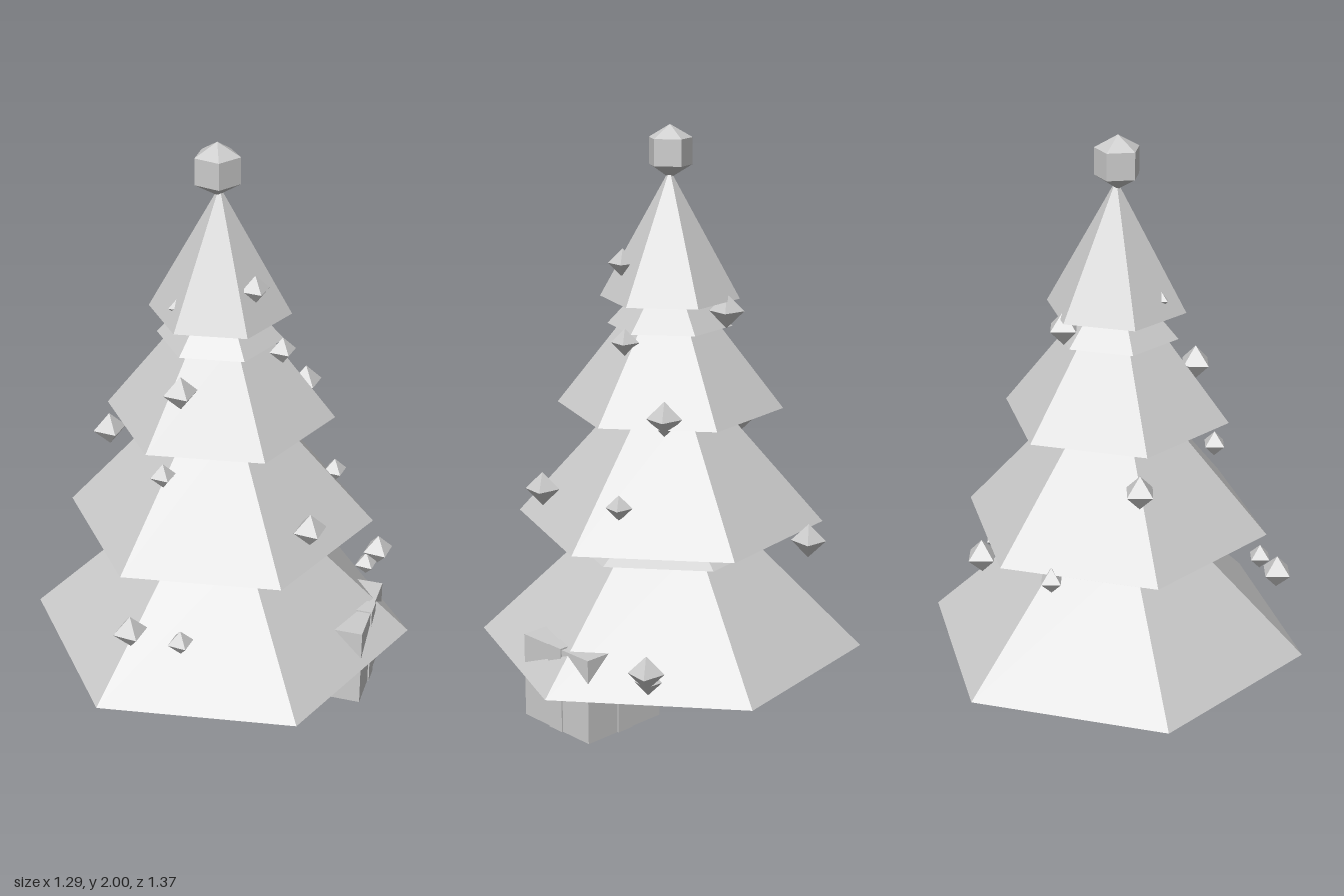
import * as THREE from 'three';

export function createModel() {
  const model = new THREE.Group();
  const paleGrey = new THREE.MeshStandardMaterial({ color: 0xcccccc, flatShading: true });
  paleGrey.name = 'paleGrey';

  const add = (name, geometry, x, y, z, parent = model) => {
    const mesh = new THREE.Mesh(geometry, paleGrey);
    mesh.name = name;
    mesh.position.set(x, y, z);
    parent.add(mesh);
    return mesh;
  };

  // Six-sided branch tiers and the short collars between them: y0, y1, bottom and top radius
  const treeX = -0.053;
  const tiers = [
    ['branchTier', 0.17, 0.6, 0.685, 0.245],
    ['branchCollar', 0.545, 0.64, 0.375, 0.225],
    ['branchTier', 0.63, 1.06, 0.54, 0.16],
    ['branchTier', 1.035, 1.36, 0.395, 0.142],
    ['branchCollar', 1.32, 1.43, 0.216, 0.115],
    ['branchTier', 1.415, 1.845, 0.241, 0.003],
  ];
  for (const [name, y0, y1, r0, r1] of tiers) {
    add(name, new THREE.CylinderGeometry(r1, r0, y1 - y0, 6), treeX, (y0 + y1) / 2, 0);
  }

  // Faceted ball on the tip
  add('treeTopper', new THREE.SphereGeometry(0.09, 5, 3), -0.06, 1.91, 0);

  // Hanging ornaments: x, y, z, radius
  const ornaments = [
    [0.01, 1.54, 0.152, 0.05], [0.12, 1.29, 0.13, 0.048], [-0.26, 1.225, 0.172, 0.06],
    [0.277, 1.07, -0.022, 0.06], [-0.385, 0.915, -0.22, 0.06], [-0.335, 0.94, 0.195, 0.045],
    [-0.205, 1.47, 0.042, 0.045], [0.33, 0.775, 0.123, 0.045], [0.1, 0.76, 0.425, 0.06],
    [-0.515, 0.455, 0.342, 0.06], [-0.367, 0.425, 0.425, 0.046], [0.582, 0.3, 0, 0.06],
    [0.535, 0.25, 0, 0.046], [-0.01, 1.38, -0.2, 0.06], [0.09, 0.605, -0.497, 0.06],
    [-0.2, 0.605, -0.445, 0.046],
  ];
  for (const [x, y, z, r] of ornaments) {
    add('ornament', new THREE.OctahedronGeometry(r), x, y, z);
  }

  // Wrapped gifts with crossed ribbons, tucked under the lowest tier
  const addGift = (name, x, z, size, height, angle) => {
    const gift = new THREE.Group();
    gift.name = name;
    gift.position.set(x, 0, z);
    gift.rotation.y = angle;
    add('giftBox', new THREE.BoxGeometry(size, height, size), 0, height / 2, 0, gift);
    const wrap = size + 0.01, ribbonHeight = height + 0.005, width = size * 0.2;
    add('ribbon', new THREE.BoxGeometry(width, ribbonHeight, wrap), 0, ribbonHeight / 2, 0, gift);
    add('ribbon', new THREE.BoxGeometry(wrap, ribbonHeight, width), 0, ribbonHeight / 2, 0, gift);
    model.add(gift);
  };
  addGift('largeGift', -0.07, -0.015, 0.455, 0.3, 0.322);
  addGift('smallGift', 0.27, 0.23, 0.327, 0.298, 0.893);

  return model;
}
